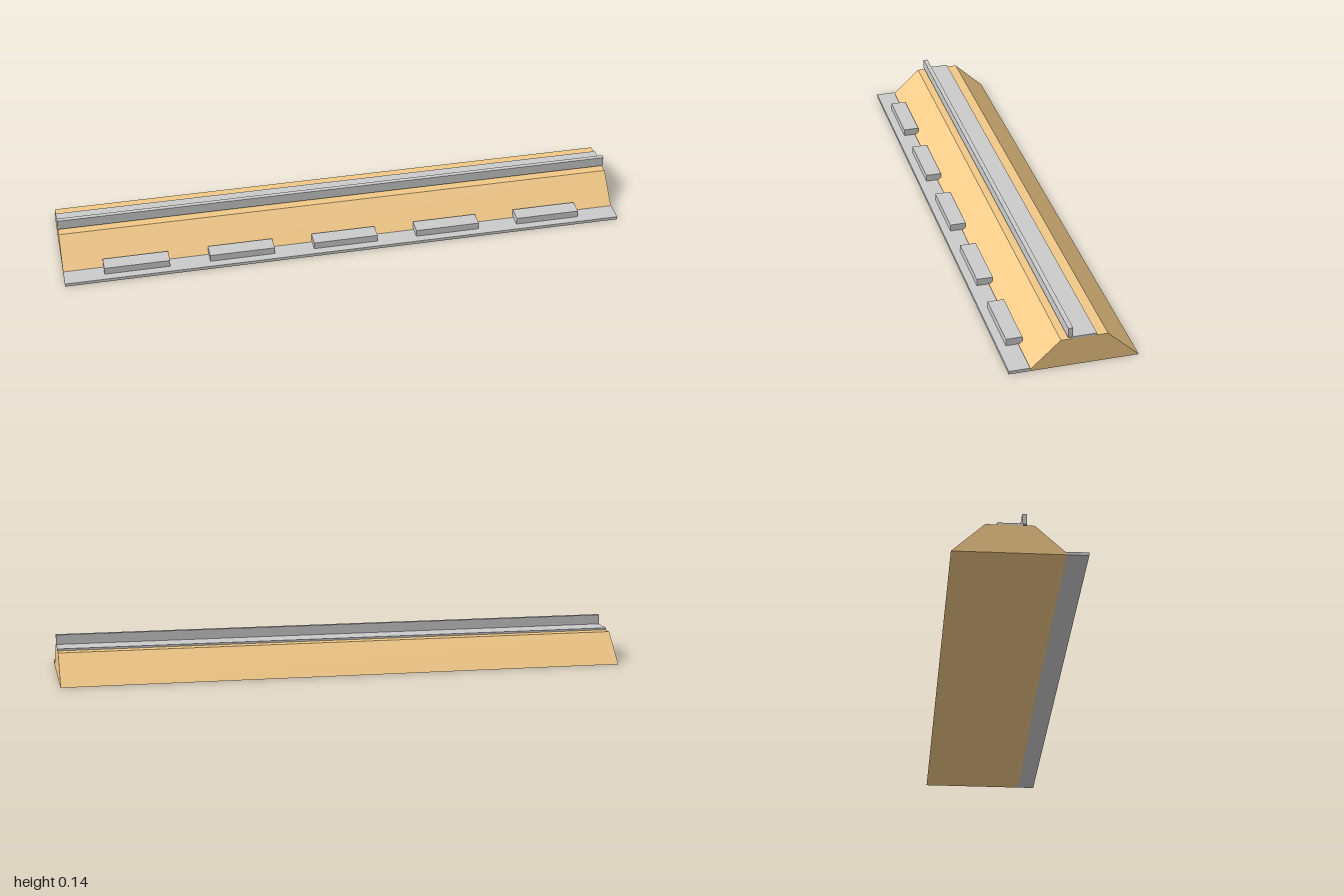
import * as THREE from 'three';

const LENGTH = 2;

export function createModel() {
  const group = new THREE.Group();
  const grey = new THREE.MeshStandardMaterial({ color: 0xcccccc });
  const sand = new THREE.MeshStandardMaterial({ color: 0xf2c987 });

  // Box given by its extents in y and z, centred on x
  function addBox(name, length, [y0, y1], [z0, z1], x = 0) {
    const mesh = new THREE.Mesh(new THREE.BoxGeometry(length, y1 - y0, z1 - z0), grey);
    mesh.position.set(x, (y0 + y1) / 2, (z0 + z1) / 2);
    mesh.name = name;
    group.add(mesh);
  }

  // Embankment: trapezoid section in (-z, y), extruded along x
  const section = new THREE.Shape([
    new THREE.Vector2(-0.154, 0),
    new THREE.Vector2(0.217, 0),
    new THREE.Vector2(0.11, 0.1),
    new THREE.Vector2(-0.047, 0.1),
  ]);
  const bank = new THREE.ExtrudeGeometry(section, { depth: LENGTH, bevelEnabled: false });
  bank.translate(0, 0, -LENGTH / 2).rotateY(Math.PI / 2);
  const embankment = new THREE.Mesh(bank, sand);
  embankment.name = 'embankment';
  group.add(embankment);

  // Path and low wall along the crest
  addBox('crestPath', LENGTH, [0.1, 0.107], [-0.073, 0.011]);
  addBox('crestWall', LENGTH, [0.106, 0.141], [0.007, 0.023]);

  // Slab at the front foot with a row of blocks
  addBox('footSlab', LENGTH, [0, 0.011], [0.147, 0.218]);
  for (let i = -2; i <= 2; i++) {
    addBox('footBlock', 0.23, [0.011, 0.036], [0.133, 0.189], i * 0.372);
  }

  return group;
}
